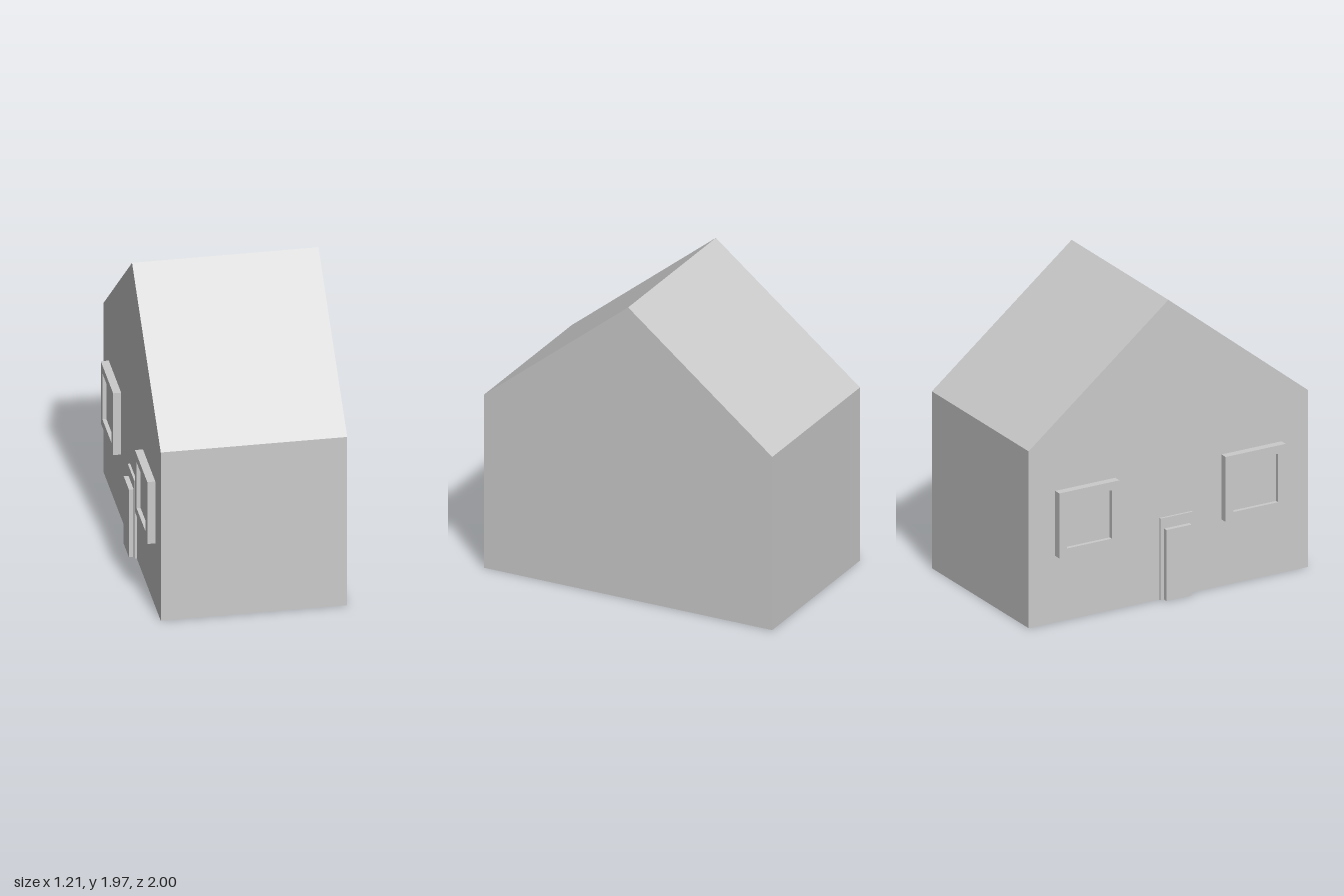
import * as THREE from 'three';

const WALL_X = -0.56; // outer plane of the wall that carries door and windows

export function createModel() {
  const model = new THREE.Group();
  model.name = 'house';
  const material = new THREE.MeshStandardMaterial({ color: 0xcccccc, flatShading: true });

  const add = (parent, name, geometry) => {
    const mesh = new THREE.Mesh(geometry, material);
    mesh.name = name;
    parent.add(mesh);
    return mesh;
  };

  // Box given by its lower and upper corners
  const block = (parent, name, [x0, y0, z0], [x1, y1, z1]) =>
    add(parent, name, new THREE.BoxGeometry(x1 - x0, y1 - y0, z1 - z0))
      .position.set((x0 + x1) / 2, (y0 + y1) / 2, (z0 + z1) / 2);

  // Walls and gable roof: one pentagon swept along x
  const gable = new THREE.Shape([
    new THREE.Vector2(-1, 0), new THREE.Vector2(1, 0), new THREE.Vector2(1, 1.17),
    new THREE.Vector2(0, 1.97), new THREE.Vector2(-1, 1.17),
  ]);
  const body = new THREE.ExtrudeGeometry(gable, { depth: 0.605 - WALL_X, bevelEnabled: false });
  body.rotateY(Math.PI / 2).translate(WALL_X, 0, 0);
  add(model, 'houseBody', body);

  // Door: thin surround with a thicker leaf in front
  const door = new THREE.Group();
  door.name = 'door';
  model.add(door);
  block(door, 'doorSurround', [-0.575, 0, -0.065], [WALL_X, 0.54, 0.165]);
  block(door, 'doorLeaf', [-0.605, 0, -0.04], [-0.575, 0.47, 0.14]);

  // Square windows: raised frame around a recessed pane
  const half = 0.215, inner = 0.16, frameDepth = 0.05;
  const square = (Type, h) => new Type([
    new THREE.Vector2(-h, -h), new THREE.Vector2(h, -h),
    new THREE.Vector2(h, h), new THREE.Vector2(-h, h),
  ]);
  for (const z of [-0.595, 0.595]) {
    const window = new THREE.Group();
    window.name = z > 0 ? 'frontWindow' : 'backWindow';
    window.position.set(WALL_X, 0.655, z);
    model.add(window);

    const outline = square(THREE.Shape, half);
    outline.holes.push(square(THREE.Path, inner));
    const frame = new THREE.ExtrudeGeometry(outline, { depth: frameDepth, bevelEnabled: false });
    add(window, 'windowFrame', frame.rotateY(-Math.PI / 2));
    block(window, 'windowPane', [-0.025, -inner, -inner], [0, inner, inner]);
  }

  return model;
}
